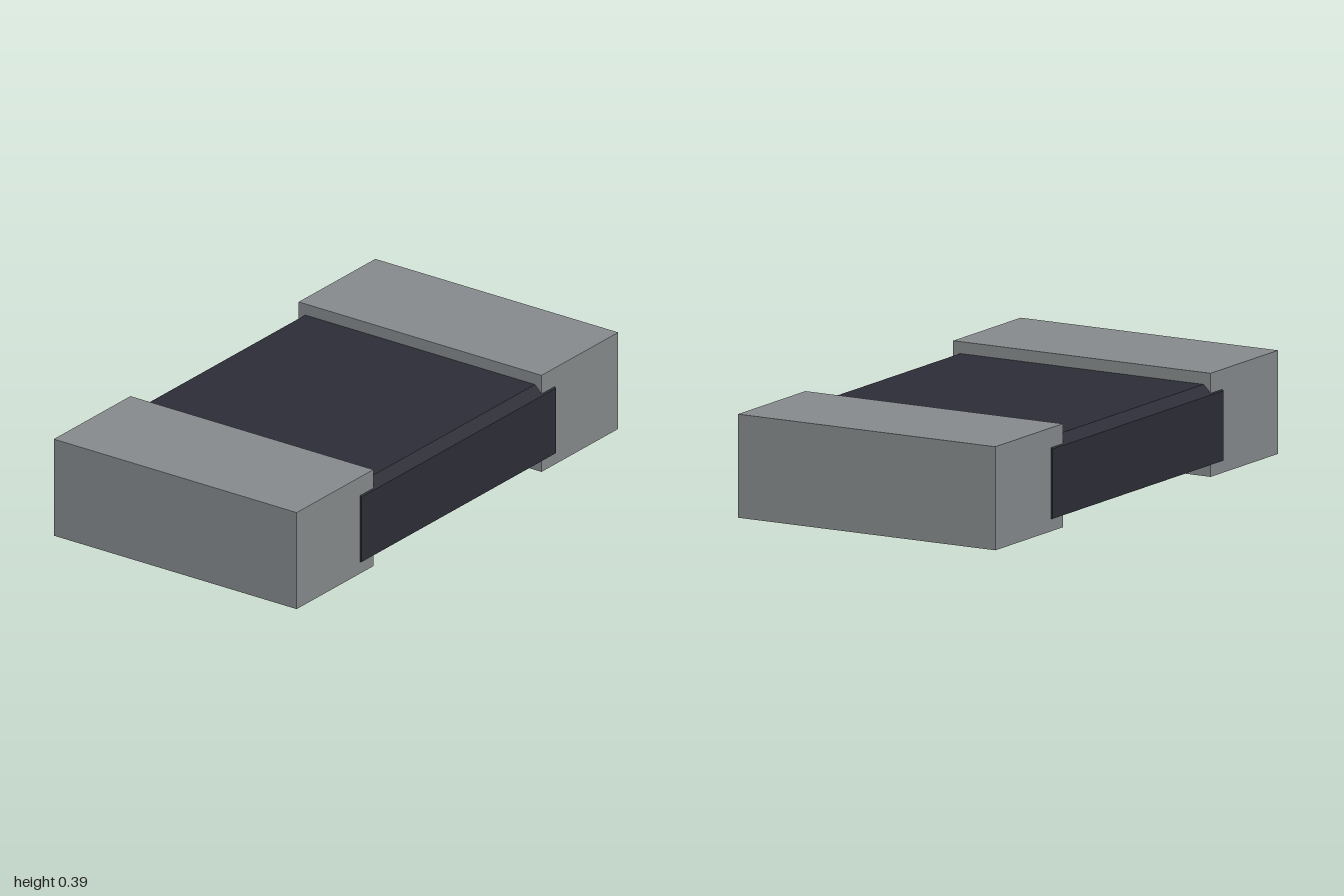
import * as THREE from 'three';

export function createModel() {
  const model = new THREE.Group();
  const darkCoating = new THREE.MeshStandardMaterial({ color: 0x2e2e38 });
  darkCoating.name = 'dark coating';
  const greyMetal = new THREE.MeshStandardMaterial({ color: 0x888c8e });
  greyMetal.name = 'grey metal';

  // Body: cross-section with bevelled top edges, extruded along x
  const half = 0.605;
  const section = new THREE.Shape([
    [-0.56, 0.047], [0.56, 0.047], [0.56, 0.31], [0.525, 0.345], [-0.525, 0.345], [-0.56, 0.31],
  ].map(([z, y]) => new THREE.Vector2(z, y)));
  const bodyGeometry = new THREE.ExtrudeGeometry(section, { depth: half * 2, bevelEnabled: false });
  bodyGeometry.translate(0, 0, -half).rotateY(Math.PI / 2);
  const body = new THREE.Mesh(bodyGeometry, darkCoating);
  body.name = 'body';
  model.add(body);

  // Metal end caps, slightly taller than the body
  for (const side of [1, -1]) {
    const cap = new THREE.Mesh(new THREE.BoxGeometry(0.477, 0.39, 1.11), greyMetal);
    cap.name = side > 0 ? 'leftEndCap' : 'rightEndCap';
    cap.position.set(side * 0.7615, 0.195, 0);
    model.add(cap);
  }
  return model;
}
